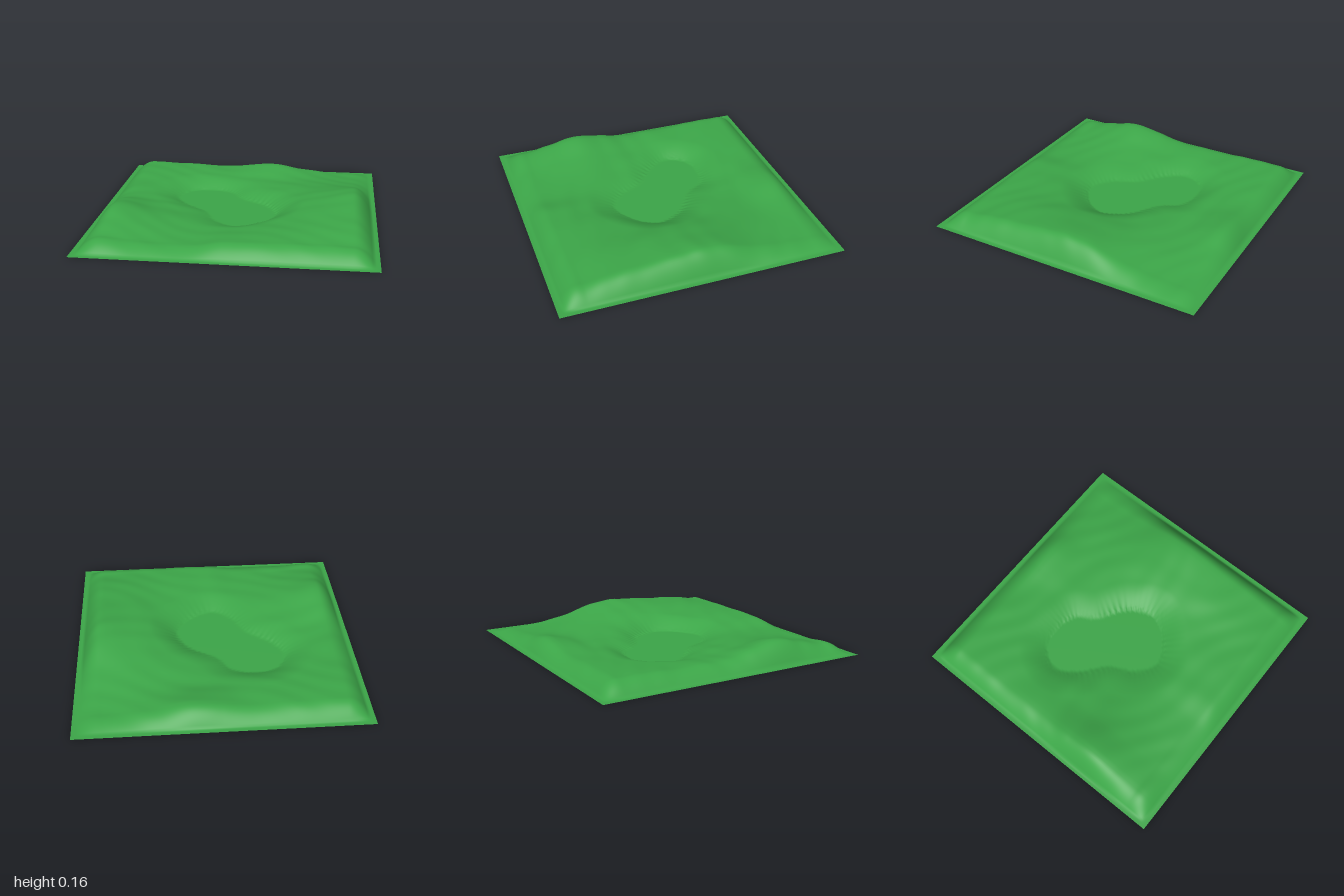
import * as THREE from 'three';

// Hill heights in hundredths, rows z = -0.8 to 0.8, columns x = -0.8 to 0.8
const HEIGHTS = [
  [9, 8.5, 8, 7, 9, 10.5, 7, 4.5, 3],
  [9, 8, 7, 6.5, 6, 6, 5.5, 5.5, 4.5],
  [8, 7, 6, 6, 5, 6, 7, 8, 8],
  [8, 6, 5, 4, 4, 6, 8, 11.5, 13.5],
  [8, 6, 5, 4, 4, 6, 9, 13, 16],
  [12, 8, 5, 4, 4, 6, 9, 13, 14.5],
  [15.5, 10, 6.5, 5, 5, 7, 9, 12, 13],
  [11.5, 8.5, 6, 5.5, 7, 8.5, 9.5, 11, 11.5],
  [7.5, 5.5, 5, 5.5, 8.5, 9, 9, 9, 8.5],
];

// Outline of the flat hollow in the middle
const HOLLOW = new THREE.CatmullRomCurve3([
  [-0.5, -0.23], [-0.42, -0.38], [-0.27, -0.42], [-0.1, -0.38], [0, -0.24], [0.2, -0.1],
  [0.28, 0.08], [0.2, 0.23], [0, 0.34], [-0.15, 0.25], [-0.24, 0.08], [-0.42, -0.08],
].map(([x, z]) => new THREE.Vector3(x, 0, z)), true).getPoints(72);

// Smooth interpolation through a row of values
function spline(values, t) {
  const n = values.length - 1;
  const i = THREE.MathUtils.clamp(Math.floor(t), 0, n - 1);
  const f = THREE.MathUtils.clamp(t - i, 0, 1);
  const [a, b, c, d] = [-1, 0, 1, 2].map((k) => values[THREE.MathUtils.clamp(i + k, 0, n)]);
  return b + 0.5 * f * (c - a + f * (2 * a - 5 * b + 4 * c - d + f * (3 * (b - c) + d - a)));
}

// Distance outside the hollow, zero within it
function hollowDistance(x, z) {
  let inside = false;
  let best = Infinity;
  for (let i = 0; i < HOLLOW.length - 1; i++) {
    const p = HOLLOW[i], q = HOLLOW[i + 1];
    best = Math.min(best, Math.hypot(x - p.x, z - p.z));
    if ((p.z > z) !== (q.z > z) && x < p.x + ((z - p.z) / (q.z - p.z)) * (q.x - p.x)) inside = !inside;
  }
  return inside ? 0 : best;
}

// Steep rounded bank next to the flat border
function bank(v) {
  const d = THREE.MathUtils.clamp((0.965 - Math.abs(v)) / 0.14, 0, 1);
  return 1 - (1 - d) ** 2;
}

function heightAt(x, z) {
  const hills = spline(HEIGHTS.map((row) => spline(row, (x + 0.8) / 0.2)), (z + 0.8) / 0.2) / 100;
  const ripples = 0.003 * Math.sin(13 * x + 4 * Math.sin(5 * z)) * Math.sin(17 * z + 2 * Math.sin(6 * x));
  const d = Math.min(hollowDistance(x, z) / 0.2, 1);
  return Math.max(0, hills + ripples) * bank(x) * bank(z) * (1 - (1 - d) ** 2);
}

export function createModel() {
  const group = new THREE.Group();
  group.name = 'terrain';

  // One open sheet of ground, raised by the height rule
  const geometry = new THREE.PlaneGeometry(2, 2, 160, 160);
  geometry.rotateX(-Math.PI / 2);
  const position = geometry.attributes.position;
  for (let i = 0; i < position.count; i++) {
    position.setY(i, heightAt(position.getX(i), position.getZ(i)));
  }
  geometry.computeVertexNormals();

  const grass = new THREE.MeshStandardMaterial({ color: 0x3ca648, side: THREE.DoubleSide });
  const ground = new THREE.Mesh(geometry, grass);
  ground.name = 'grassGround';
  group.add(ground);
  return group;
}
